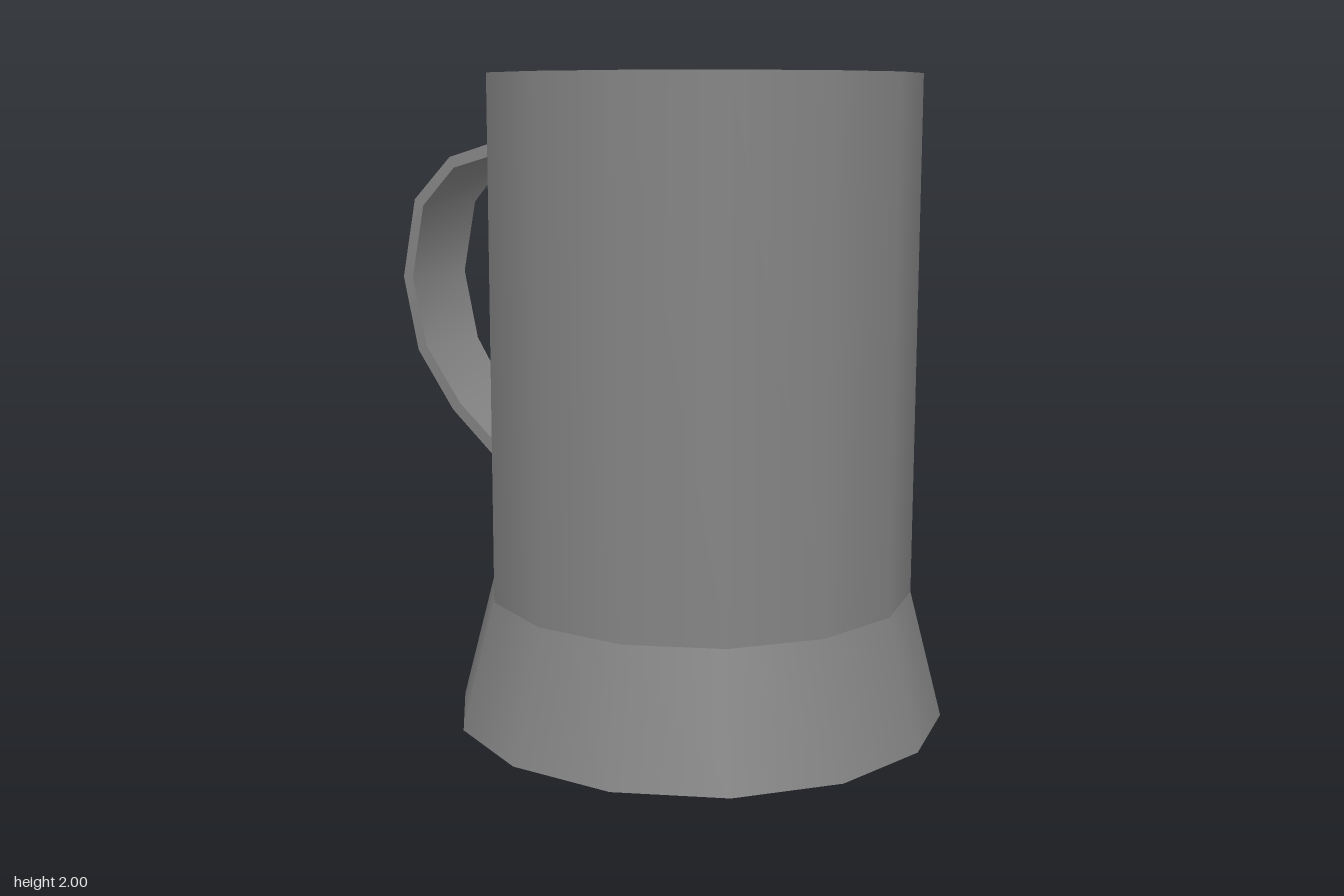
import * as THREE from 'three';

const SIDES = 14;
const CENTRE_X = 0.18;

// One ring of the turned body; separate rings keep the edges between them sharp
function ring(name, r0, y0, r1, y1, material) {
  const points = [new THREE.Vector2(r0, y0), new THREE.Vector2(r1, y1)];
  const mesh = new THREE.Mesh(new THREE.LatheGeometry(points, SIDES, -Math.PI / 2), material);
  mesh.name = name;
  mesh.position.x = CENTRE_X;
  return mesh;
}

// Flat strap swept through sections [outerX, outerY, innerX, innerY, halfWidth]
function strapGeometry(sections, z) {
  const positions = [];
  const indices = [];
  const corners = sections.map(([ox, oy, ix, iy, w]) => [
    [ox, oy, z + w], [ox, oy, z - w], [ix, iy, z - w], [ix, iy, z + w],
  ]);
  for (let side = 0; side < 4; side++) {
    const base = positions.length / 3;
    corners.forEach((c, i) => {
      positions.push(...c[side], ...c[(side + 1) % 4]);
      if (i === 0) return;
      const a = base + (i - 1) * 2;
      indices.push(a, a + 1, a + 3, a, a + 3, a + 2);
    });
  }
  const geometry = new THREE.BufferGeometry();
  geometry.setAttribute('position', new THREE.Float32BufferAttribute(positions, 3));
  geometry.setIndex(indices);
  geometry.computeVertexNormals();
  return geometry;
}

export function createModel() {
  const model = new THREE.Group();
  model.name = 'mug';
  const material = new THREE.MeshStandardMaterial({ color: 0x848484 });

  // Body: base, flared foot, wall, rim, hollow inside and floor
  const profile = [[0, 0], [0.77, 0], [0.667, 0.4], [0.667, 2], [0.61, 2], [0.61, 0.08], [0, 0.08]];
  const names = ['base', 'flaredFoot', 'outerWall', 'rim', 'innerWall', 'floor'];
  names.forEach((name, i) => {
    model.add(ring(name, ...profile[i], ...profile[i + 1], material));
  });

  // Handle: a strap, widest at its outermost point
  const sections = [
    [-0.445, 1.787, -0.445, 1.747, 0.07],
    [-0.575, 1.787, -0.568, 1.747, 0.107],
    [-0.75, 1.735, -0.733, 1.7, 0.128],
    [-0.897, 1.592, -0.86, 1.572, 0.137],
    [-0.953, 1.328, -0.913, 1.328, 0.138],
    [-0.895, 1.08, -0.858, 1.095, 0.137],
    [-0.755, 0.885, -0.722, 0.908, 0.128],
    [-0.575, 0.72, -0.552, 0.755, 0.107],
    [-0.445, 0.66, -0.445, 0.7, 0.07],
  ];
  const handle = new THREE.Mesh(strapGeometry(sections, -0.047), material);
  handle.name = 'handle';
  model.add(handle);

  return model;
}
